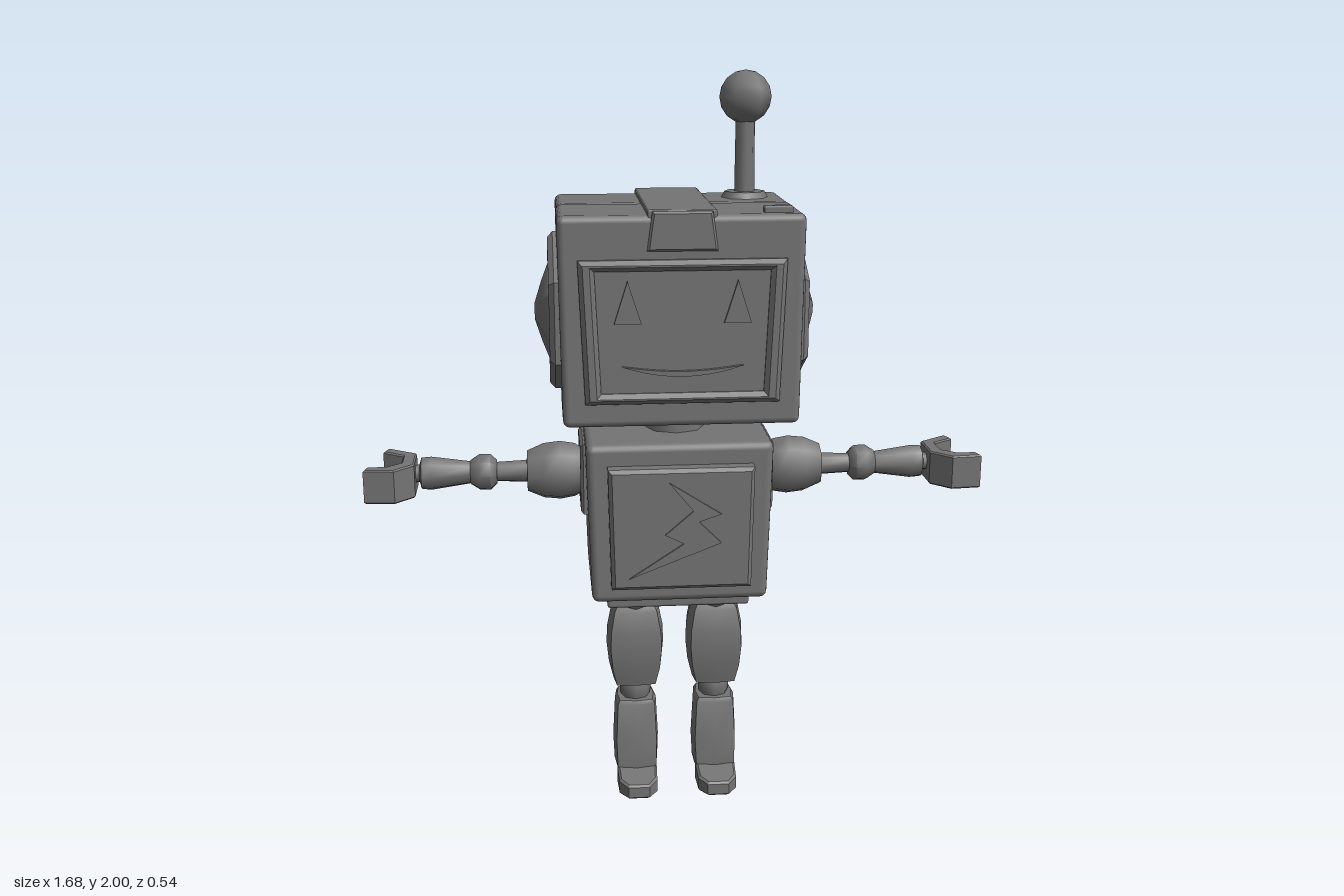
import * as THREE from 'three';
import { toCreasedNormals } from 'three/addons/utils/BufferGeometryUtils.js';
import { RoundedBoxGeometry } from 'three/addons/geometries/RoundedBoxGeometry.js';

const darkGrey = new THREE.MeshStandardMaterial({ color: 0x747474 });
const V = (pts) => pts.map(([x, y]) => new THREE.Vector2(x, y));

function add(parent, name, geometry, x = 0, y = 0, z = 0) {
  const mesh = new THREE.Mesh(geometry, darkGrey);
  mesh.name = name;
  mesh.position.set(x, y, z);
  parent.add(mesh);
}

function group(parent, name) {
  const g = new THREE.Group();
  g.name = name;
  parent.add(g);
  return g;
}

// Rounded box whose width and depth grow or shrink towards the bottom
function taperedBox(w, h, d, r, bottom = 1) {
  const g = new RoundedBoxGeometry(w, h, d, 2, r);
  const p = g.attributes.position;
  for (let i = 0; i < p.count; i++) {
    const k = THREE.MathUtils.lerp(bottom, 1, p.getY(i) / h + 0.5);
    p.setX(i, p.getX(i) * k);
    p.setZ(i, p.getZ(i) * k);
  }
  return g;
}

// Flat plate from an outline, about depth thick, with an optional hole and bevel
function plate(points, depth, hole = null, bevel = 0) {
  const shape = new THREE.Shape(V(points));
  if (hole) shape.holes.push(new THREE.Path(V(hole)));
  return new THREE.ExtrudeGeometry(shape, {
    depth: depth - bevel, bevelEnabled: bevel > 0, bevelThickness: bevel,
    bevelSize: bevel, bevelOffset: -bevel, bevelSegments: 1,
  });
}

// Four corners with different half widths at bottom and top
const quad = (bottom, top, h) => [[-bottom, -h], [bottom, -h], [top, h], [-top, h]];

const hexagon = (r) => Array.from({ length: 6 }, (_, i) => {
  const a = Math.PI / 2 + i * Math.PI / 3;
  return [r * Math.cos(a), r * Math.sin(a)];
});

const lathe = (profile, sides = 8, start = 0) =>
  toCreasedNormals(new THREE.LatheGeometry(V(profile), sides, start), 0.95);

// Squarish eight-sided loft through rings [y, centreZ, halfWidth, halfDepth], listed from the top
function loft(rings) {
  const g = new THREE.CylinderGeometry(1, 1, 1, 8, rings.length - 1);
  const p = g.attributes.position;
  for (let i = 0; i < p.count; i++) {
    const [y, cz, rx, rz] = rings[Math.round((0.5 - p.getY(i)) * (rings.length - 1))];
    const diagonal = Math.abs(p.getX(i) * p.getZ(i)) > 0.1;
    const k = diagonal ? 1.25 : 1;
    p.setXYZ(i, p.getX(i) * rx * k, y, cz + p.getZ(i) * rz * k);
  }
  return toCreasedNormals(g, 0.95);
}

function buildHead(model) {
  const head = group(model, 'head');
  // Two shells meeting in a seam
  add(head, 'headFront', taperedBox(0.63, 0.545, 0.266, 0.018, 0.975), 0, 1.389, 0.111);
  add(head, 'headBack', taperedBox(0.626, 0.545, 0.246, 0.018, 0.975), 0, 1.389, -0.137);

  // Face frame, screen and features
  add(head, 'faceFrame', plate(quad(0.25, 0.265, 0.185), 0.038, quad(0.209, 0.223, 0.157), 0.012), 0, 1.367, 0.228);
  add(head, 'screen', plate(quad(0.225, 0.235, 0.165), 0.015), 0, 1.367, 0.235);
  for (const s of [-1, 1])
    add(head, 'eye', plate([[-0.035, -0.055], [0.035, -0.055], [0, 0.055]], 0.012), s * 0.14, 1.445, 0.246);
  const smile = [];
  for (let i = 0; i <= 10; i++) smile.push([-0.155 + i * 0.031, 0.027 * ((i - 5) / 5) ** 2 - 0.018]);
  for (let i = 9; i >= 1; i--) smile.push([-0.155 + i * 0.031, 0.014 * ((i - 5) / 5) ** 2 - 0.004]);
  add(head, 'smile', plate(smile, 0.016), 0, 1.272, 0.246);

  // Band over the top with a flap at each end
  add(head, 'topBand', new RoundedBoxGeometry(0.176, 0.03, 0.505, 1, 0.006), 0, 1.66, -0.013);
  add(head, 'frontFlap', plate(quad(0.09, 0.076, 0.05), 0.03, null, 0.006), 0, 1.622, 0.22);
  add(head, 'backFlap', plate(quad(0.09, 0.076, 0.052), 0.03, null, 0.006), 0, 1.618, -0.268);
  add(head, 'topButton', new RoundedBoxGeometry(0.075, 0.03, 0.03, 1, 0.005), 0.247, 1.663, 0.195);

  // Hexagonal ears
  for (const s of [-1, 1]) {
    const ear = group(head, s > 0 ? 'leftEar' : 'rightEar');
    const ring = plate(hexagon(0.213), 0.035, hexagon(0.15), 0.014);
    ring.rotateY(s * Math.PI / 2);
    add(ear, 'earRing', ring, s * 0.302, 1.38, 0);
    const dome = lathe([[0.15, 0.3], [0.142, 0.332], [0.082, 0.355], [0.022, 0.374], [0, 0.374]], 6, Math.PI / 6);
    dome.rotateZ(-s * Math.PI / 2);
    add(ear, 'earDome', dome, 0, 1.38, 0);
  }

  // Antenna
  const antenna = group(head, 'antenna');
  antenna.position.set(0.205, 0, -0.138);
  add(antenna, 'antennaBase', new THREE.CylinderGeometry(0.055, 0.066, 0.02, 8), 0, 1.668, 0);
  add(antenna, 'antennaRod', new THREE.CylinderGeometry(0.026, 0.028, 0.22, 8), 0, 1.775, 0);
  add(antenna, 'antennaBall', new THREE.SphereGeometry(0.071, 6, 8), 0, 1.929, 0);
}

function buildTorso(model) {
  const torso = group(model, 'torso');
  add(torso, 'neck', new THREE.CylinderGeometry(0.08, 0.083, 0.1, 8), 0, 1.085, 0);
  add(torso, 'chest', taperedBox(0.5, 0.445, 0.392, 0.02, 0.95), 0, 0.833, 0);
  add(torso, 'pelvis', taperedBox(0.39, 0.06, 0.27, 0.008), 0, 0.604, 0);

  // Chest panel with a lightning bolt
  add(torso, 'chestPanel', plate(quad(0.187, 0.194, 0.167), 0.058, null, 0.01), 0, 0.832, 0.18);
  const bolt = [[-0.035, 0.13], [0.105, 0.04], [0.045, 0.02], [0.105, -0.04], [-0.14, -0.135], [0.005, -0.04], [-0.045, -0.015], [0.03, 0.05]];
  add(torso, 'lightningBolt', plate(bolt, 0.009), 0, 0.835, 0.234);

  // Back hatch and rivets
  add(torso, 'hatch', plate(quad(0.122, 0.122, 0.115), 0.014, null, 0.006).rotateY(Math.PI), 0, 0.875, -0.19);
  const rivet = (name, r, h, x, y, z) =>
    add(torso, name, new THREE.CylinderGeometry(r * 0.7, r, h, 8).rotateX(-Math.PI / 2), x, y, z - h / 2);
  for (const sx of [-1, 1]) for (const sy of [-1, 1]) {
    rivet('hatchRivet', 0.029, 0.026, sx * 0.115, 0.875 + sy * 0.105, -0.19);
    rivet('cornerRivet', 0.013, 0.01, sx * 0.213, 0.835 + sy * 0.195, -0.186 - sy * 0.005);
  }
}

function buildArm(model, s) {
  const arm = group(model, s > 0 ? 'leftArm' : 'rightArm');
  const shoulderFrame = plate(quad(0.1, 0.1, 0.098), 0.03, quad(0.072, 0.072, 0.07), 0.008);
  shoulderFrame.rotateY(s * Math.PI / 2);
  add(arm, 'shoulderFrame', shoulderFrame, s * 0.232, 0.935, 0);

  const limb = (name, profile) => {
    const g = lathe(profile);
    g.rotateZ(-s * Math.PI / 2);
    add(arm, name, g, 0, 0.935, 0);
  };
  limb('shoulder', [[0, 0.235], [0.055, 0.24], [0.076, 0.275], [0.083, 0.315], [0.078, 0.36], [0.058, 0.405], [0, 0.408]]);
  limb('upperArm', [[0.032, 0.39], [0.027, 0.5]]);
  limb('elbow', [[0, 0.485], [0.034, 0.488], [0.051, 0.505], [0.051, 0.535], [0.034, 0.56], [0, 0.562]]);
  limb('forearm', [[0.03, 0.55], [0.047, 0.665], [0.045, 0.692], [0.025, 0.698], [0.025, 0.715], [0, 0.715]]);

  // Open two-fingered claw
  const outline = [[0.79, 0.112], [0.708, 0.055], [0.708, -0.055], [0.758, -0.108], [0.84, -0.1],
    [0.832, -0.066], [0.782, -0.068], [0.744, -0.033], [0.744, 0.035], [0.802, 0.075]];
  const claw = plate(outline.map(([x, y]) => [s * x, y]), 0.09, null, 0.004);
  claw.rotateX(-Math.PI / 2);
  add(arm, 'claw', claw, 0, 0.887, 0);
}

function buildLeg(model, s) {
  const leg = group(model, s > 0 ? 'leftLeg' : 'rightLeg');
  leg.position.x = s * 0.113;
  add(leg, 'hipRing', lathe([[0, 0.535], [0.06, 0.537], [0.072, 0.552], [0.072, 0.568], [0.06, 0.582], [0, 0.582]]));
  add(leg, 'thigh', loft([
    [0.55, 0, 0.056, 0.056], [0.53, 0, 0.067, 0.067], [0.47, 0, 0.079, 0.078],
    [0.42, 0, 0.081, 0.081], [0.36, 0, 0.075, 0.075], [0.307, 0, 0.062, 0.062],
  ]));
  add(leg, 'knee', lathe([[0.035, 0.24], [0.044, 0.265], [0.044, 0.3], [0.035, 0.32]]));
  add(leg, 'shin', loft([
    [0.256, 0, 0.052, 0.054], [0.245, 0, 0.059, 0.06], [0.13, 0.001, 0.065, 0.064],
    [0.06, 0.008, 0.062, 0.07], [0.035, 0.008, 0.056, 0.066], [0.004, 0.004, 0.045, 0.048],
  ]));
  // Foot: rounded sole outline whose top rises towards the ankle
  const foot = plate([[-0.045, 0.04], [-0.057, -0.06], [-0.054, -0.125], [-0.03, -0.157],
    [0.03, -0.157], [0.054, -0.125], [0.057, -0.06], [0.045, 0.04]], 0.04, null, 0.006);
  foot.rotateX(-Math.PI / 2);
  const p = foot.attributes.position;
  for (let i = 0; i < p.count; i++)
    p.setY(i, Math.max(0, p.getY(i) + 0.006) * (0.9 + 0.8 * Math.max(0, 0.155 - p.getZ(i)) / 0.2));
  foot.computeVertexNormals();
  add(leg, 'foot', foot);
}

export function createModel() {
  const model = new THREE.Group();
  model.name = 'robot';
  buildHead(model);
  buildTorso(model);
  for (const s of [-1, 1]) {
    buildArm(model, s);
    buildLeg(model, s);
  }
  return model;
}
